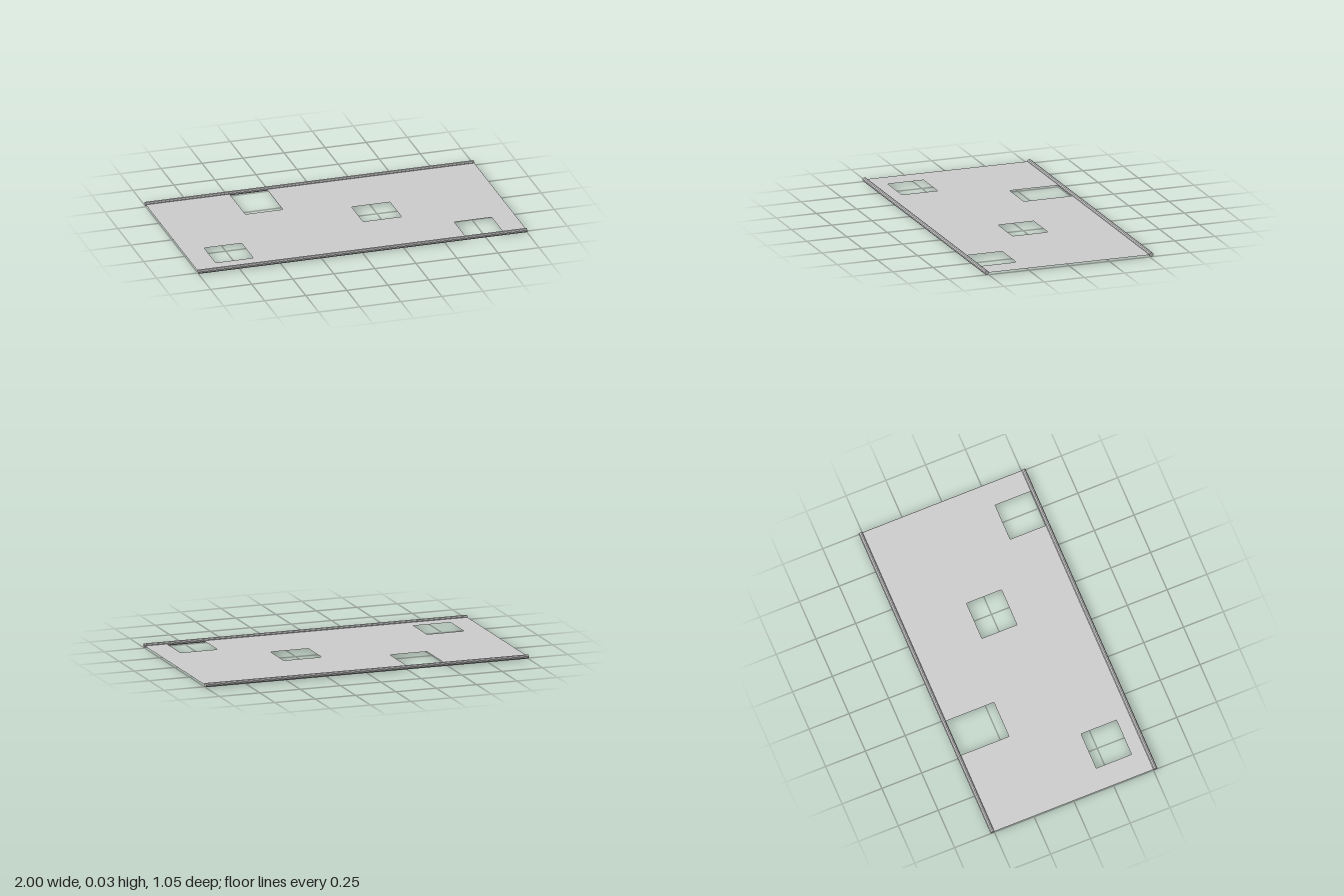
import * as THREE from 'three';

const HALF_X = 1, HALF_Z = 0.5, R = 0.0127;

// Closed path from corner points in (x, z)
function trace(path, points) {
  points.forEach(([x, z], i) => (i ? path.lineTo(x, z) : path.moveTo(x, z)));
  path.closePath();
  return path;
}

export function createModel() {
  const group = new THREE.Group();
  const material = new THREE.MeshStandardMaterial({ color: 0xcccccc, flatShading: true });
  const sheetMaterial = material.clone();
  sheetMaterial.side = THREE.DoubleSide;

  // Thin sheet: outline with one notch at each long edge
  const outline = trace(new THREE.Shape(), [
    [-HALF_X, -HALF_Z], [-0.49, -HALF_Z], [-0.49, -0.197], [-0.262, -0.197], [-0.262, -HALF_Z],
    [HALF_X, -HALF_Z], [HALF_X, HALF_Z],
    [0.861, HALF_Z], [0.861, 0.276], [0.633, 0.276], [0.633, HALF_Z], [-HALF_X, HALF_Z],
  ]);
  // Rectangular openings inside the sheet: x0, x1, z0, z1
  for (const [x0, x1, z0, z1] of [[0.13, 0.364, -0.11, 0.11], [-0.865, -0.636, 0.196, 0.418]]) {
    outline.holes.push(trace(new THREE.Path(), [[x0, z0], [x0, z1], [x1, z1], [x1, z0]]));
  }
  // Shape y becomes z; reversing the winding keeps the front face upward
  const sheetGeometry = new THREE.ShapeGeometry(outline).rotateX(Math.PI / 2);
  const index = sheetGeometry.index;
  for (let i = 0; i < index.count; i += 3) {
    const a = index.getX(i);
    index.setX(i, index.getX(i + 1));
    index.setX(i + 1, a);
  }
  sheetGeometry.computeVertexNormals();
  const sheet = new THREE.Mesh(sheetGeometry, sheetMaterial);
  sheet.name = 'sheet';
  sheet.position.y = R;
  group.add(sheet);

  // Rods along the two long edges
  const rodGeometry = new THREE.CylinderGeometry(R, R, 2 * HALF_X, 10)
    .rotateZ(Math.PI / 2).rotateX(Math.PI / 2);
  for (const side of [1, -1]) {
    const rod = new THREE.Mesh(rodGeometry, material);
    rod.name = side > 0 ? 'frontRod' : 'backRod';
    rod.position.set(0, R, side * (HALF_Z + 0.012));
    group.add(rod);
  }
  return group;
}
